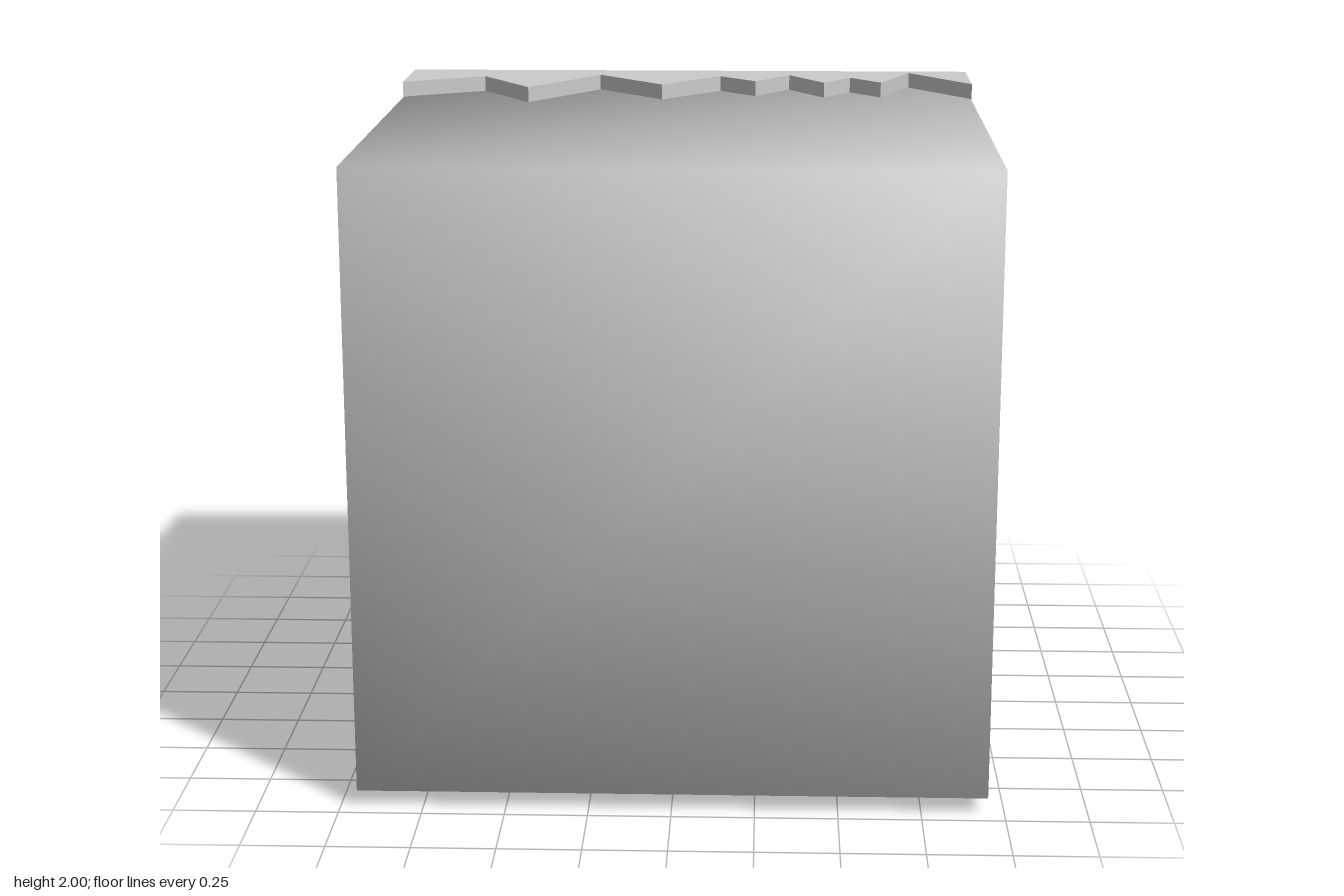
import * as THREE from 'three';
import { mergeVertices, toCreasedNormals } from 'three/addons/utils/BufferGeometryUtils.js';

// x and z of the jagged front edge of the cap
const ZIGZAG = [
  [-0.952, -0.49], [-0.69, -0.64], [-0.52, -0.37], [-0.30, -0.69], [-0.08, -0.45],
  [0.11, -0.665], [0.23, -0.54], [0.345, -0.70], [0.46, -0.51], [0.55, -0.64],
  [0.65, -0.52], [0.755, -0.77], [0.952, -0.49],
];

// Cube with soft shading: corners share one outward normal
function makeCube(size) {
  let geometry = new THREE.BoxGeometry(size, size, size);
  geometry.deleteAttribute('normal');
  geometry.deleteAttribute('uv');
  geometry = mergeVertices(geometry);
  const normals = geometry.attributes.position.clone();
  geometry.setAttribute('normal', normals);
  geometry.normalizeNormals();
  return geometry;
}

// Cap: side profile swept across x, one step per zigzag point
function makeCap() {
  const front = 0.5, back = 0.95, top = 2, r = 0.15;
  const profile = new THREE.Shape();
  profile.moveTo(front, 0);
  profile.lineTo(back - r, 0);
  profile.absarc(back - r, r, r, -Math.PI / 2, 0, false);
  profile.lineTo(back, top - r);
  profile.absarc(back - r, top - r, r, 0, Math.PI / 2, false);
  profile.lineTo(front, top);
  profile.closePath();

  const steps = ZIGZAG.length - 1;
  const geometry = new THREE.ExtrudeGeometry(profile, {
    depth: steps, steps, curveSegments: 8, bevelEnabled: false,
  });
  const p = geometry.attributes.position;
  for (let i = 0; i < p.count; i++) {
    const [x, z] = ZIGZAG[Math.round(p.getZ(i))];
    const isFront = Math.abs(p.getX(i) - front) < 1e-4;
    p.setXYZ(i, x, p.getY(i), isFront ? z : -p.getX(i));
  }
  geometry.deleteAttribute('normal');
  geometry.deleteAttribute('uv');
  return toCreasedNormals(geometry, Math.PI / 6);
}

export function createModel() {
  const group = new THREE.Group();
  group.name = 'cubeWithJaggedCap';
  const material = new THREE.MeshStandardMaterial({ color: 0xcccccc });

  const cube = new THREE.Mesh(makeCube(1.9), material);
  cube.name = 'cube';
  cube.position.y = 1;
  cube.scale.z = 0.995; // keeps the hidden back just inside the cap
  cube.position.z = 0.004;
  group.add(cube);

  const cap = new THREE.Mesh(makeCap(), material);
  cap.name = 'jaggedCap';
  group.add(cap);

  // The cube's square back edges would pass the cap's rounded corners, so stop it short
  const c = cube.geometry.attributes.position;
  for (let i = 0; i < c.count; i++) if (c.getZ(i) < 0) c.setZ(i, -0.86);
  return group;
}
